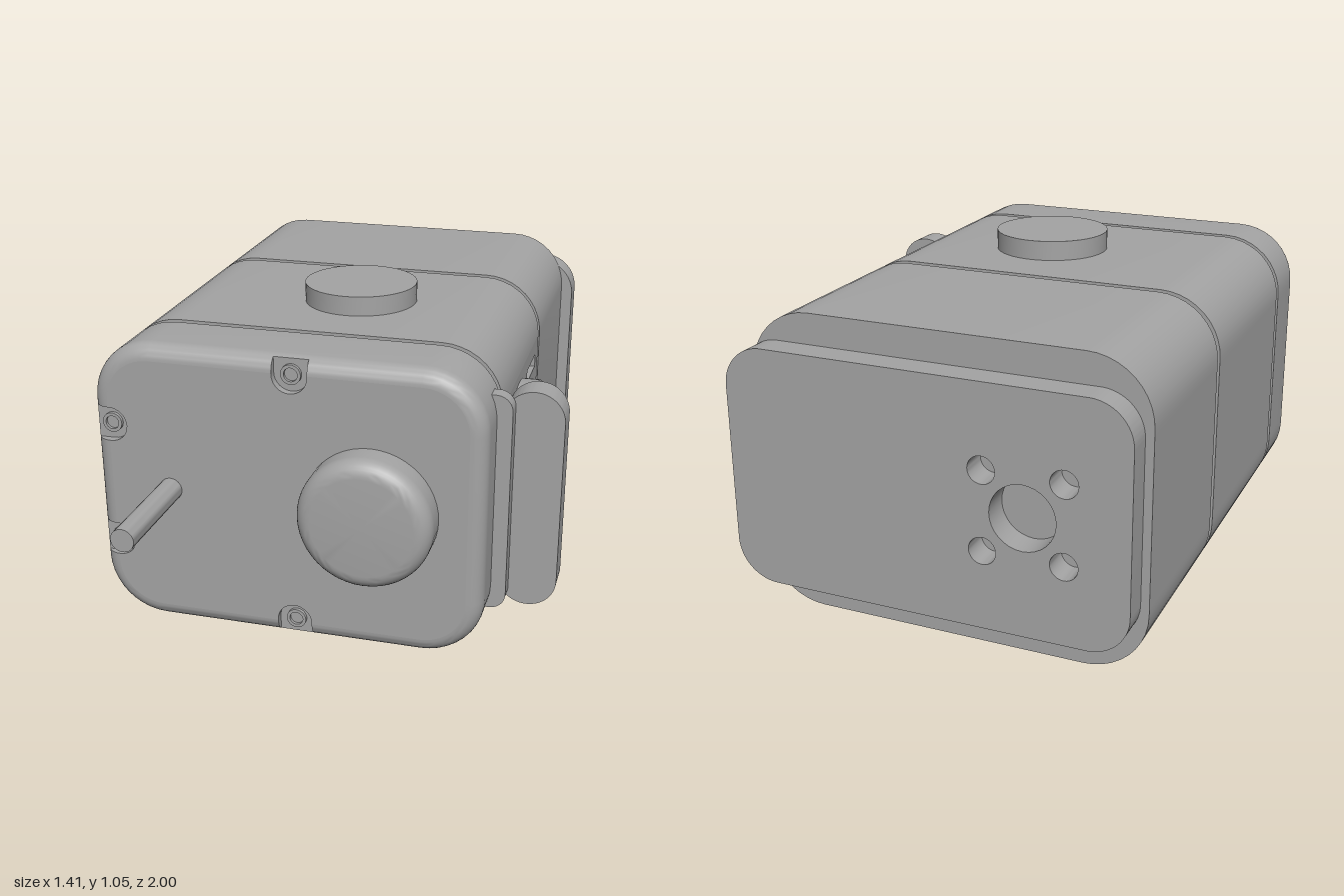
import * as THREE from 'three';
import { toCreasedNormals } from 'three/addons/utils/BufferGeometryUtils.js';

const grey = new THREE.MeshStandardMaterial({ color: 0xa4a4a4, side: THREE.DoubleSide });
grey.name = 'grey';

// Body cross-section: centre, half sizes, corner radius
const CX = -0.0975, CY = 0.525, HW = 0.6075, HH = 0.46, R = 0.19;
const BACK = -0.915, FRONT = 0.647, FILLET = 0.05;
const POCKET_R = 0.054, POCKET_DEPTH = 0.055;
// Screw pockets as offsets along each side (right, top, left, bottom)
const POCKETS = [[], [-0.0225], [-0.195, 0.195], [0.0225]];

export function createModel() {
  const model = new THREE.Group();
  model.name = 'actuatorHousing';

  const add = (name, geo, x = 0, y = 0, z = 0) => {
    const mesh = new THREE.Mesh(toCreasedNormals(geo, 0.5), grey);
    mesh.name = name;
    mesh.position.set(x, y, z);
    model.add(mesh);
    return mesh;
  };
  const lathe = (pts) => new THREE.LatheGeometry(pts.map(([r, h]) => new THREE.Vector2(r, h)), 48);
  const circle = (x, y, r) => new THREE.Path().absarc(x, y, r, 0, Math.PI * 2, true);
  const rounded = (x0, x1, y0, y1, r) => {
    const s = new THREE.Shape();
    s.absarc(x1 - r, y0 + r, r, -Math.PI / 2, 0);
    s.absarc(x1 - r, y1 - r, r, 0, Math.PI / 2);
    s.absarc(x0 + r, y1 - r, r, Math.PI / 2, Math.PI);
    s.absarc(x0 + r, y0 + r, r, Math.PI, Math.PI * 1.5);
    s.closePath();
    return s;
  };
  const extrude = (shape, depth) =>
    new THREE.ExtrudeGeometry(shape, { depth, bevelEnabled: false, curveSegments: 16 });

  // Outline points with outward normal and pocket cut depth
  const outline = [];
  for (let side = 0; side < 4; side++) {
    const a = side * Math.PI / 2;
    const nx = Math.round(Math.cos(a)), ny = Math.round(Math.sin(a));
    const D = side % 2 ? HH : HW, L = (side % 2 ? HW : HH) - R;
    const put = (s, cut = 0) => outline.push({
      x: CX + nx * D - ny * s, y: CY + ny * D + nx * s, nx, ny, cut, flatRight: side === 0,
    });
    put(-L);
    for (const c of POCKETS[side]) {
      put(c - POCKET_R * 1.002);
      for (let k = 0; k <= 16; k++) {
        const t = Math.PI * k / 16;
        put(c - POCKET_R * Math.cos(t), POCKET_DEPTH + POCKET_R * Math.sin(t));
      }
      put(c + POCKET_R * 1.002);
    }
    put(L);
    const ox = CX + (nx - ny) * (HW - R), oy = CY + (nx + ny) * (HH - R);
    for (let k = 1; k < 10; k++) {
      const t = a + Math.PI / 2 * k / 10, c = Math.cos(t), s = Math.sin(t);
      outline.push({ x: ox + c * R, y: oy + s * R, nx: c, ny: s, cut: 0 });
    }
  }
  const loop = (inset, cut) => outline.map((p) => {
    const d = cut ? Math.max(inset, p.cut) : inset;
    return new THREE.Vector2(p.x - p.nx * d, p.y - p.ny * d);
  });

  // Body skin: two seam grooves, then a rounded front edge with screw pockets
  const G = 0.014;
  const layers = [
    [BACK, 0], [-0.332, 0], [-0.332, G], [-0.307, G], [-0.307, 0],
    [0.396, 0], [0.396, G], [0.42, G], [0.42, 0],
  ];
  const PANEL_LAYER = 4;
  for (let k = 0; k <= 9; k++) {
    const a = k * Math.PI / 18;
    const z = FRONT - FILLET * (1 - Math.sin(a)), d = FILLET * (1 - Math.cos(a));
    if (k <= 3) layers.push([z, d, false]);
    if (k >= 3) layers.push([z, d, true]);
  }
  const pos = [], index = [], n = outline.length;
  for (const [z, d, cut] of layers) for (const p of loop(d, cut)) pos.push(p.x, p.y, z);
  for (let k = 0; k < layers.length - 1; k++) {
    for (let i = 0; i < n; i++) {
      const j = (i + 1) % n;
      // Leave an opening for the port panel
      if (k === PANEL_LAYER && outline[i].flatRight && outline[j].flatRight) continue;
      const a = k * n + i, b = k * n + j;
      index.push(a, b, b + n, a, b + n, a + n);
    }
  }
  const skin = new THREE.BufferGeometry();
  skin.setAttribute('position', new THREE.Float32BufferAttribute(pos, 3));
  skin.setIndex(index);
  add('body', skin);
  add('frontFace', extrude(new THREE.Shape(loop(FILLET, true)), 0.008), 0, 0, FRONT - 0.008);
  add('backFace', extrude(new THREE.Shape(loop(0, false)), 0.008), 0, 0, BACK);

  // Side panel with port opening and vent slots (drawn in -z, y)
  const panel = new THREE.Shape();
  panel.moveTo(-0.396, CY - HH + R).lineTo(0.307, CY - HH + R)
    .lineTo(0.307, CY + HH - R).lineTo(-0.396, CY + HH - R).closePath();
  panel.holes.push(circle(-0.09, CY, 0.205));
  for (let i = -2; i <= 2; i++) {
    const y = CY + i * 0.098, h = 0.022;
    const z0 = Math.abs(i) === 2 ? 0.078 : 0.13;
    panel.holes.push(new THREE.Path([[z0, y - h], [z0, y + h], [0.25, y + h], [0.25, y - h]]
      .map(([u, v]) => new THREE.Vector2(u, v))));
  }
  add('sidePanel', extrude(panel, 0.04).rotateY(Math.PI / 2), 0.47);
  add('ventBacking', new THREE.BoxGeometry(0.02, 0.5, 0.23), 0.465, CY, -0.165);

  // Stepped cable port
  add('cablePort', lathe([
    [0.24, -0.01], [0.24, 0.056], [0.195, 0.056], [0.195, 0.02], [0.17, 0.02],
    [0.17, 0.045], [0.122, 0.045], [0.122, -0.15], [0, -0.15],
  ]).rotateZ(-Math.PI / 2), 0.51, CY, 0.09);

  // Round bosses on top and bottom
  for (const [name, y] of [['topBoss', 1.007], ['bottomBoss', 0.04]]) {
    add(name, new THREE.CylinderGeometry(0.181, 0.181, 0.08, 48), -0.025, y, 0.043);
  }

  // Front knob with rounded rim
  const knob = [[0.206, -0.01]];
  for (let k = 0; k <= 8; k++) {
    const a = k * Math.PI / 16;
    knob.push([0.156 + 0.05 * Math.cos(a), 0.06 + 0.05 * Math.sin(a)]);
  }
  knob.push([0, 0.11]);
  add('frontKnob', lathe(knob).rotateX(Math.PI / 2), 0.168, CY, FRONT);

  // Drive shaft
  add('shaft', new THREE.CylinderGeometry(0.036, 0.036, 0.363, 32).rotateX(Math.PI / 2),
    -0.464, CY, 0.8185);

  // Socket screws in the pockets
  for (const [x, y] of [[-0.075, 0.93], [-0.075, 0.12], [-0.65, 0.72], [-0.65, 0.33]]) {
    add('screw', lathe([[0.031, 0], [0.031, 0.012], [0.021, 0.012], [0.021, 0.002], [0, 0.002]])
      .rotateX(Math.PI / 2), x, y, 0.621);
  }

  // Rear mounting plate with a centre bore and four bolt holes
  const plate = rounded(-0.68, 0.55, 0.16, 0.892, 0.125);
  const hx = -0.37, hy = 0.52;
  plate.holes.push(circle(hx, hy, 0.098));
  for (const sx of [-1, 1]) for (const sy of [-1, 1]) {
    plate.holes.push(circle(hx + sx * 0.12, hy + sy * 0.12, 0.041));
  }
  add('rearPlate', extrude(plate, 0.092), 0, 0, -1);

  // Side handle: mounting strip and grip
  add('handleStrip', extrude(rounded(0.44, 0.556, 0.175, 0.877, 0.05), 0.05), 0, 0, 0.452);
  add('handleGrip', extrude(rounded(0.522, 0.703, 0.175, 0.877, 0.09), 0.095), 0, 0, 0.357);

  return model;
}
